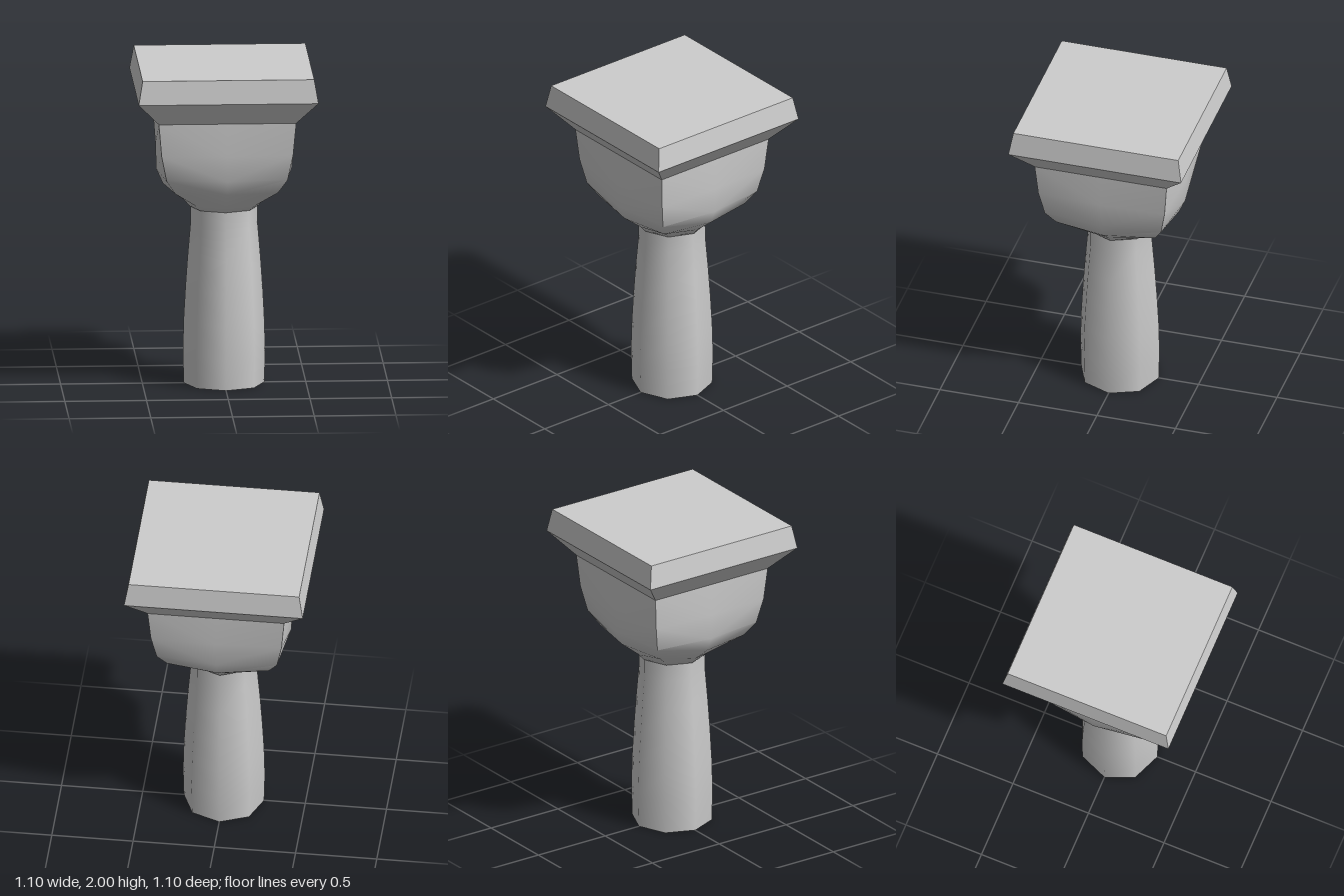
import * as THREE from 'three';
import { toCreasedNormals } from 'three/addons/utils/BufferGeometryUtils.js';

// Eight-point ring: m = reach of the side midpoints, c = reach of the corners along x and z
function ring(y, m, c) {
  return [[m, 0], [c, c], [0, m], [-c, c], [-m, 0], [-c, -c], [0, -m], [c, -c]]
    .map(([x, z]) => [x, y, z]);
}

// Joins rings from bottom to top, with optional flat caps
function loft(rings, crease, capBottom, capTop) {
  const pos = [];
  const tri = (a, b, c) => pos.push(...a, ...b, ...c);
  const n = 8;
  for (let r = 0; r < rings.length - 1; r++) {
    const lo = rings[r], hi = rings[r + 1];
    for (let i = 0; i < n; i++) {
      const j = (i + 1) % n;
      if (i % 2) { // diagonals mirror about each corner
        tri(lo[i], hi[i], lo[j]);
        tri(hi[i], hi[j], lo[j]);
      } else {
        tri(lo[i], hi[i], hi[j]);
        tri(lo[i], hi[j], lo[j]);
      }
    }
  }
  const bottom = rings[0], top = rings[rings.length - 1];
  for (let i = 0; i < n; i++) {
    const j = (i + 1) % n;
    if (capBottom) tri([0, bottom[0][1], 0], bottom[i], bottom[j]);
    if (capTop) tri([0, top[0][1], 0], top[j], top[i]);
  }
  const g = new THREE.BufferGeometry();
  g.setAttribute('position', new THREE.Float32BufferAttribute(pos, 3));
  return toCreasedNormals(g, crease);
}

export function createModel() {
  const group = new THREE.Group();
  const stone = new THREE.MeshStandardMaterial({ color: 0xcccccc });
  stone.name = 'pale grey stone';

  const add = (name, geometry) => {
    const mesh = new THREE.Mesh(geometry, stone);
    mesh.name = name;
    group.add(mesh);
  };

  // Octagonal shaft with a gentle swell
  const shaft = [[0, 0.247], [0.2, 0.252], [0.4, 0.247], [0.6, 0.236], [0.8, 0.222], [1.0, 0.205], [1.105, 0.204]]
    .map(([y, r]) => ring(y, r, r * Math.SQRT1_2));
  add('shaft', loft(shaft, 1.0, true, false));

  // Bowl that grows from the octagon into a square
  const bowl = [
    [1.105, 0.212, 0.15], [1.145, 0.245, 0.185], [1.25, 0.375, 0.315],
    [1.34, 0.415, 0.37], [1.5, 0.42, 0.402], [1.705, 0.42, 0.42],
  ].map((p) => ring(...p));
  add('bowl', loft(bowl, 1.15, true, false));

  // Square slab with a sloping underside and slightly tapered rim
  const slab = [[1.705, 0.42], [1.855, 0.55], [2, 0.525]].map(([y, h]) => ring(y, h, h));
  add('topSlab', loft(slab, 0.5, false, true));

  return group;
}
